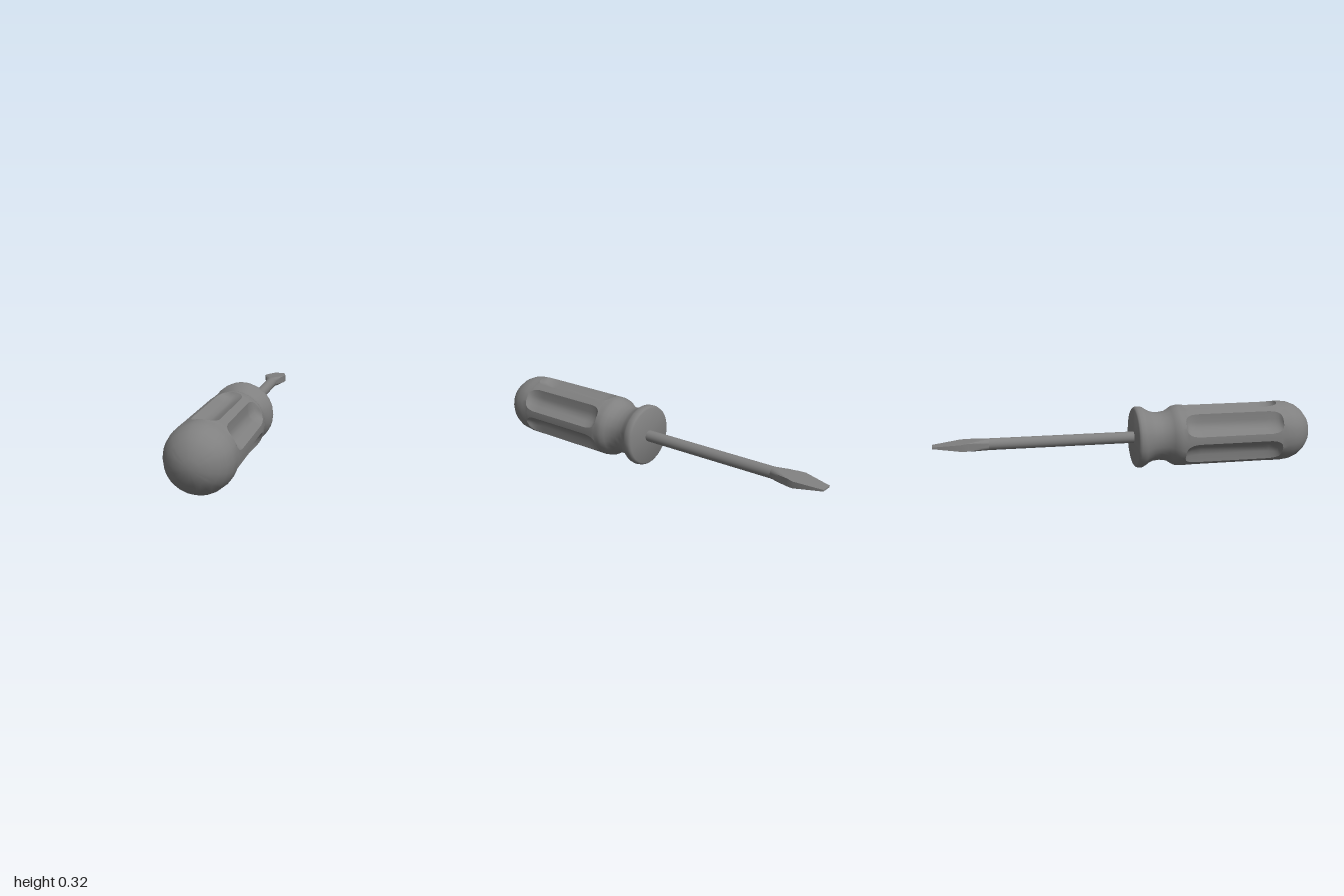
import * as THREE from 'three';
import { mergeGeometries, mergeVertices, toCreasedNormals } from 'three/addons/utils/BufferGeometryUtils.js';

const AXIS_Y = 0.162, R = 0.161;
const DEG = Math.PI / 180;
const FLUTE_START = 0.28, FLUTE_END = 0.81;
const END_HALF = 8, MID_HALF = 23, FLUTE_DEPTH = 0.04; // half widths in degrees
const { clamp, lerp } = THREE.MathUtils;

// Skin a list of rows (each a list of [x, y, z]) running along +z, counter-clockwise
function skin(rows) {
  const n = rows[0].length, index = [];
  for (let i = 0; i < rows.length - 1; i++) {
    for (let j = 0; j < n - 1; j++) {
      const a = i * n + j, d = a + n;
      index.push(a, a + 1, d + 1, a, d + 1, d);
    }
  }
  const geo = new THREE.BufferGeometry();
  geo.setAttribute('position', new THREE.Float32BufferAttribute(rows.flat(2), 3));
  geo.setIndex(index);
  return geo;
}

const polar = (r, deg, z) => [r * Math.cos(deg * DEG), r * Math.sin(deg * DEG), z];
const steps = (a, b, n) => Array.from({ length: n + 1 }, (_, i) => lerp(a, b, i / n));
const round = (q) => Math.sqrt(1 - (1 - clamp(q, 0, 1)) ** 2);

// Distance from the nearer flute end, and the flute's half width there
const endDist = (z) => Math.min(z - FLUTE_START, FLUTE_END - z);
function halfWidth(z) {
  const d = endDist(z);
  return d >= 0 ? lerp(END_HALF, MID_HALF, round(d / 0.065)) : lerp(END_HALF, 15, clamp(-d / 0.04, 0, 1));
}

// A full ring of the handle, with columns lined up on the flute edges
function ring([z, r]) {
  const w = halfWidth(z), pts = [];
  for (let k = 0; k < 6; k++) {
    const c = 90 + 60 * k;
    for (const a of steps(-w, w, 4).slice(0, -1)) pts.push(polar(r, c + a, z));
    for (const a of steps(w, 60 - w, 2).slice(0, -1)) pts.push(polar(r, c + a, z));
  }
  pts.push(pts[0]);
  return pts;
}

export function createModel() {
  const group = new THREE.Group();
  const material = new THREE.MeshStandardMaterial({ color: 0x808080 });
  const add = (name, geo) => {
    const mesh = new THREE.Mesh(geo, material);
    mesh.name = name;
    mesh.position.y = AXIS_Y;
    group.add(mesh);
  };

  // Handle: collar and neck, rounded butt, and ribs between the flutes
  const neck = [[0.03, 0], [0.03, 0.149], [0.035, 0.157], [0.046, R], [0.066, R], [0.078, 0.156], [0.1, 0.141],
    [0.125, 0.13], [0.16, 0.126], [0.2, 0.132], [0.222, 0.146], [0.24, 0.157], [0.26, R], [FLUTE_START, R]];
  const butt = [[FLUTE_END, R]];
  for (const a of steps(0, 90, 6)) butt.push([0.838 + 0.162 * Math.sin(a * DEG), R * Math.cos(a * DEG)]);
  const ends = [0, 0.006, 0.018, 0.035, 0.065, 0.09];
  const fluteZ = [...ends.map((d) => FLUTE_START + d), ...ends.map((d) => FLUTE_END - d).reverse()];
  const parts = [skin(neck.map(ring)), skin(butt.map(ring))];
  const flutes = [];
  for (let k = 0; k < 6; k++) {
    const c = 90 + 60 * k;
    parts.push(skin(fluteZ.map((z) => {
      const w = halfWidth(z);
      return steps(w, 60 - w, 2).map((a) => polar(R, c + a, z));
    })));
    // Concave grip flute
    const flute = skin(fluteZ.map((z) => {
      const depth = FLUTE_DEPTH * round(endDist(z) / 0.09);
      return steps(-1, 1, 4).map((t) => polar(R - depth * (1 - t * t), c + t * halfWidth(z), z));
    }));
    flute.computeVertexNormals();
    flutes.push(flute);
  }
  add('handle', toCreasedNormals(mergeVertices(mergeGeometries(parts)), 0.8));
  add('gripFlutes', mergeGeometries(flutes));

  // Round shaft
  const shaftR = 0.03, bladeRoot = -0.72, bladeWide = -0.86;
  const shaft = new THREE.CylinderGeometry(shaftR, shaftR, 0.05 - bladeRoot, 24, 1, true);
  shaft.rotateX(Math.PI / 2).translate(0, 0, (0.05 + bladeRoot) / 2);
  add('shaft', shaft);

  // Flat blade: a wedge that flares from the round shaft, then narrows to the tip
  const section = (z) => {
    const k = clamp((bladeRoot - z) / (bladeRoot - bladeWide), 0, 1);
    const w = z > bladeWide ? lerp(shaftR, 0.063, k) : lerp(0.03, 0.063, (z + 1) / (bladeWide + 1));
    const h = lerp(0.004, shaftR, (z + 1) / (bladeRoot + 1));
    const f = 1 + 0.42 * k;
    return steps(0, 360, 24).map((a) => [
      w * clamp(f * Math.cos(a * DEG), -1, 1),
      clamp(shaftR * f * Math.sin(a * DEG), -h, h),
      z,
    ]);
  };
  const tip = section(-1).map(() => [0, 0, -1]);
  const blade = skin([tip, ...[-1, bladeWide, -0.825, -0.79, -0.755, bladeRoot].map(section)]);
  add('blade', toCreasedNormals(blade, 0.6));

  return group;
}
